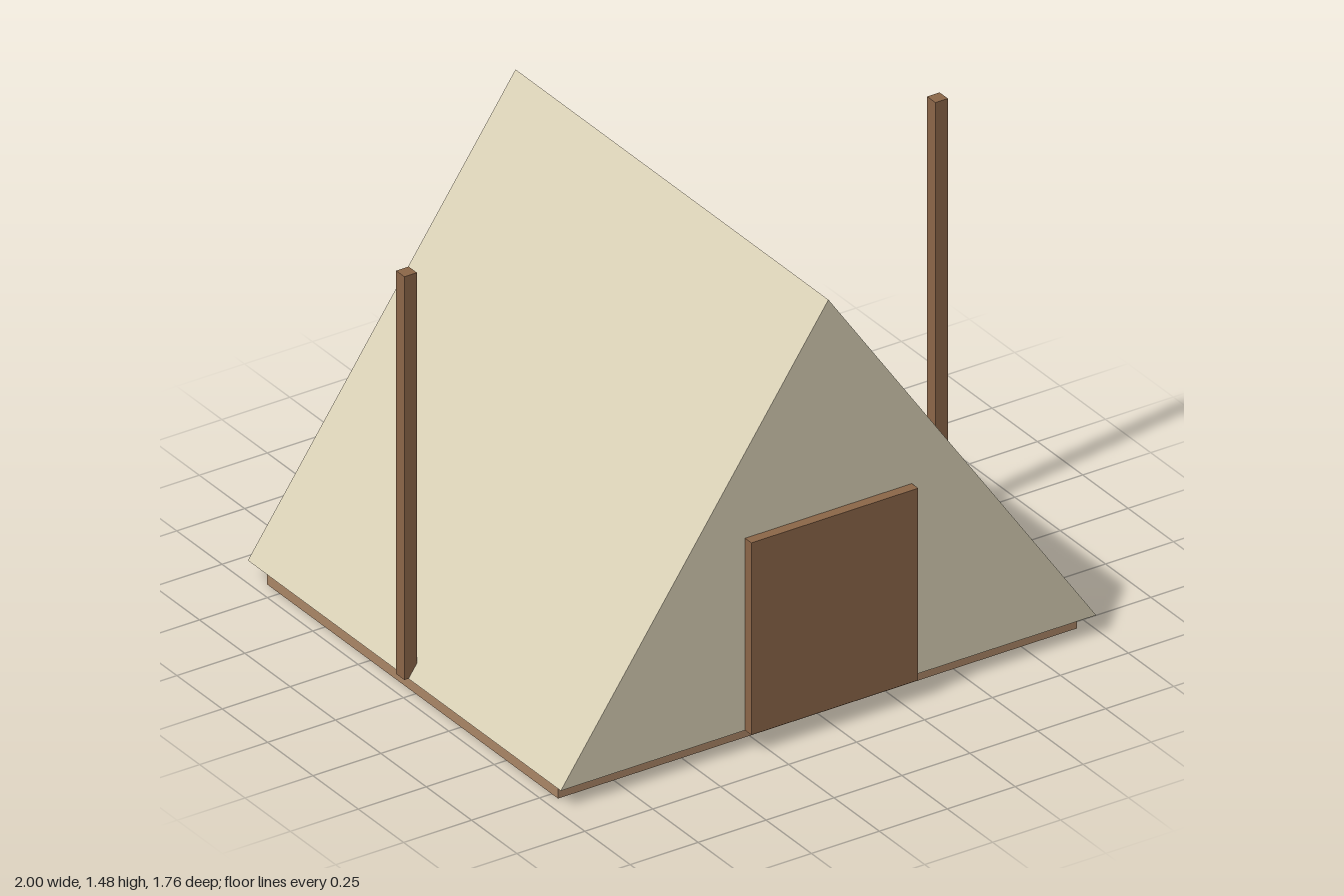
import * as THREE from 'three';

const material = (color) => new THREE.MeshStandardMaterial({ color, flatShading: true });

export function createModel() {
  const tent = new THREE.Group();
  tent.name = 'tent';
  const canvas = material(0xd8cfb4);
  const wood = material(0x8b6648);
  const plank = material(0xa98565);
  const midZ = -0.0175; // the door sticks out in front, so the body sits slightly back
  const groundY = 0.065;
  const ridgeY = 1.482;

  const add = (name, geometry, mat, x, y, z) => {
    const mesh = new THREE.Mesh(geometry, mat);
    mesh.name = name;
    mesh.position.set(x, y, z);
    tent.add(mesh);
  };

  // floor slab
  add('floor', new THREE.BoxGeometry(1.91, groundY, 1.605), plank, 0, groundY / 2, midZ);

  // canvas: a triangular prism with its ridge along z
  const gable = new THREE.Shape([
    new THREE.Vector2(-0.985, 0),
    new THREE.Vector2(0.985, 0),
    new THREE.Vector2(0, ridgeY - groundY),
  ]);
  const length = 1.725;
  const prism = new THREE.ExtrudeGeometry(gable, { depth: length, bevelEnabled: false });
  add('canvas', prism, canvas, 0, groundY, midZ - length / 2);

  // door panel on the front gable
  add('door', new THREE.BoxGeometry(0.614, 0.675, 0.07), wood, 0, groundY + 0.3375, 0.845);

  // upright poles, one on each side
  for (const [name, side] of [['leftPole', 1], ['rightPole', -1]]) {
    add(name, new THREE.BoxGeometry(0.046, ridgeY - groundY, 0.046), wood,
      side * 0.977, (ridgeY + groundY) / 2, midZ);
  }

  return tent;
}
